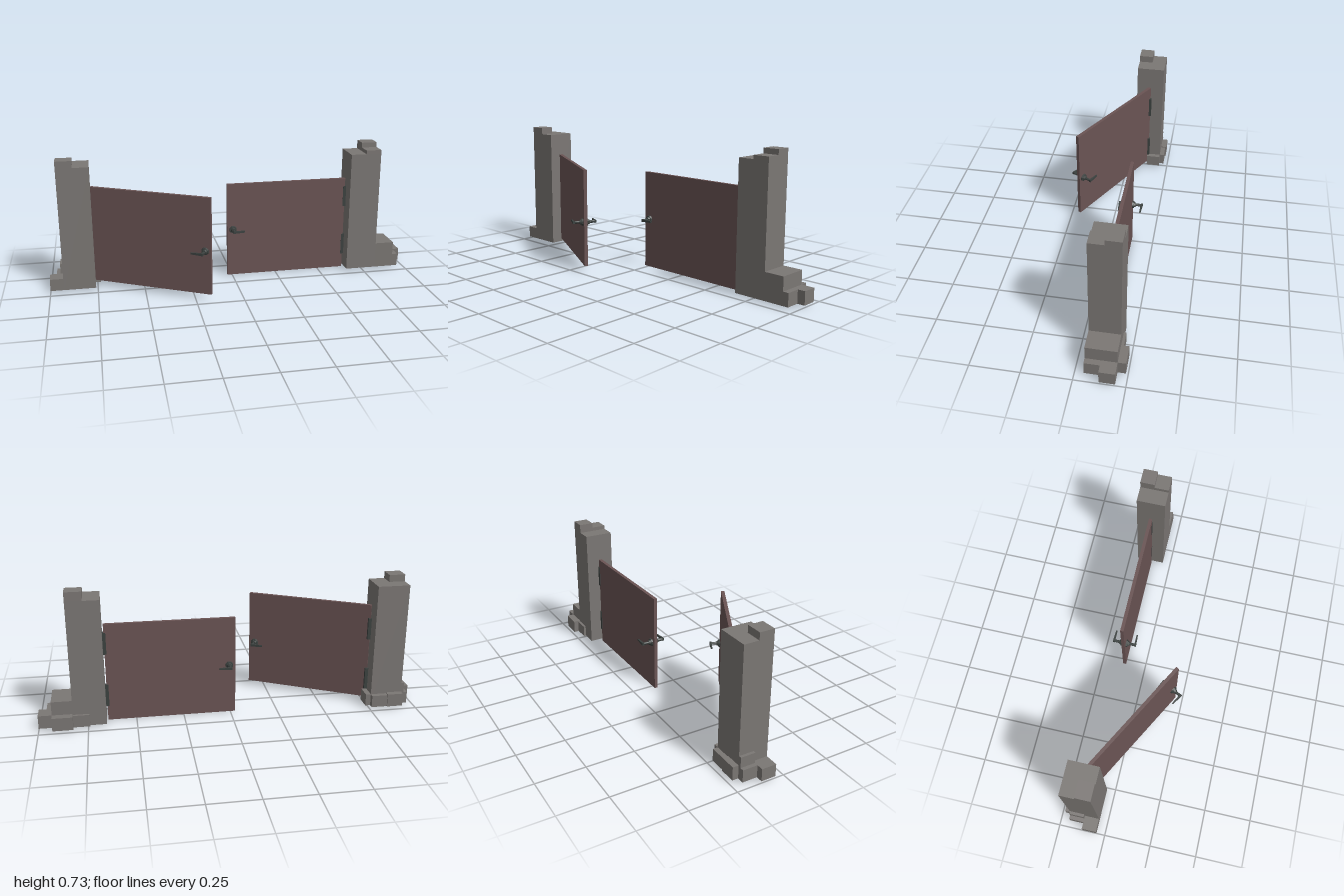
import * as THREE from 'three';

const stone = new THREE.MeshStandardMaterial({ color: 0x7b7774, flatShading: true });
const panel = new THREE.MeshStandardMaterial({ color: 0x6a5454, flatShading: true });
const metal = new THREE.MeshStandardMaterial({ color: 0x3c4240, flatShading: true });

// Box given by its extents on each axis
function block(name, material, [x0, x1], [y0, y1], [z0, z1]) {
  const mesh = new THREE.Mesh(new THREE.BoxGeometry(x1 - x0, y1 - y0, z1 - z0), material);
  mesh.position.set((x0 + x1) / 2, (y0 + y1) / 2, (z0 + z1) / 2);
  mesh.name = name;
  return mesh;
}

function pillar(name, blocks) {
  const group = new THREE.Group();
  group.name = name;
  for (const [part, x, y, z] of blocks) group.add(block(part, stone, x, y, z));
  return group;
}

// Lever handle for one face: axis along +z, lever along +x
function handle() {
  const group = new THREE.Group();
  group.name = 'handle';
  const disc = (name, r0, r1, z0, z1) => {
    const geo = new THREE.CylinderGeometry(r1, r0, z1 - z0, 8);
    geo.rotateY(Math.PI / 8).rotateX(Math.PI / 2).translate(0, 0, (z0 + z1) / 2);
    const mesh = new THREE.Mesh(geo, metal);
    mesh.name = name;
    group.add(mesh);
  };
  disc('rose', 0.022, 0.019, 0.008, 0.018);
  disc('collar', 0.015, 0.011, 0.018, 0.028);
  disc('stem', 0.0075, 0.0075, 0.026, 0.064);

  // Lever narrows towards its tip
  const geo = new THREE.BoxGeometry(0.066, 0.014, 0.011);
  const pos = geo.attributes.position;
  for (let i = 0; i < pos.count; i++) {
    if (pos.getX(i) > 0) {
      pos.setY(i, pos.getY(i) * 0.65);
      pos.setZ(i, pos.getZ(i) * 0.65 - 0.002);
    }
  }
  geo.translate(0.026, 0, 0.06);
  const lever = new THREE.Mesh(geo, metal);
  lever.name = 'lever';
  group.add(lever);
  return group;
}

// Door leaf: free edge at x = 0, hinged edge at x = 0.675
function door(name, bottom, top, handleHeight) {
  const group = new THREE.Group();
  group.name = name;
  group.add(block('doorPanel', panel, [0, 0.675], [bottom, top], [-0.009, 0.009]));
  for (const side of [1, -1]) {
    const h = handle();
    h.position.set(0.032, handleHeight, 0);
    h.scale.z = side;
    group.add(h);
  }
  return group;
}

export function createModel() {
  const model = new THREE.Group();
  model.name = 'gate';
  const front = [-0.122, -0.045], back = [-0.2, -0.122], full = [-0.2, -0.045];

  // Pillar on the +x side
  model.add(pillar('leftPillar', [
    ['shaft', [0.655, 0.825], [0.01, 0.68], full],
    ['frontCap', [0.74, 0.825], [0.68, 0.7], front],
    ['backCap', [0.74, 0.825], [0.68, 0.727], back],
    ['step', [0.825, 0.93], [0.01, 0.153], full],
    ['foot', [0.93, 0.96], [0.01, 0.08], full],
    ['sideStone', [0.96, 1], [0.01, 0.08], back],
    ['backStone', [0.825, 0.93], [0.01, 0.08], [-0.24, -0.2]],
    ['smallBackStone', [0.74, 0.825], [0.01, 0.075], [-0.213, -0.2]],
  ]));

  // Pillar on the -x side
  model.add(pillar('rightPillar', [
    ['shaft', [-0.93, -0.76], [0.01, 0.68], full],
    ['cap', [-0.93, -0.845], [0.68, 0.717], front],
    ['step', [-0.945, -0.93], [0.01, 0.13], back],
    ['frontFoot', [-1, -0.93], [0.01, 0.075], front],
    ['backFoot', [-0.965, -0.945], [0.01, 0.075], back],
    ['innerStone', [-0.76, -0.733], [0.01, 0.075], back],
    ['backStone', [-0.93, -0.845], [0.01, 0.08], [-0.231, -0.2]],
    ['smallBackStone', [-0.845, -0.76], [0.01, 0.075], [-0.226, -0.2]],
  ]));

  // Hinges, two on each pillar
  for (const x of [[0.638, 0.657], [-0.762, -0.743]]) {
    for (const y of [[0.08, 0.2], [0.368, 0.485]]) {
      model.add(block('hinge', metal, x, y, [-0.134, -0.112]));
    }
  }

  // Closed leaf
  const closed = door('closedDoor', 0, 0.53, 0.269);
  closed.position.set(-0.027, 0, -0.122);
  model.add(closed);

  // Open leaf, swung out towards the front
  const open = door('openDoor', 0.03, 0.557, 0.269);
  open.scale.x = -1;
  const pivot = new THREE.Group();
  pivot.name = 'openDoorPivot';
  open.position.x = 0.675;
  pivot.add(open);
  pivot.position.set(-0.76, 0, -0.12);
  pivot.rotation.y = THREE.MathUtils.degToRad(-28.5);
  model.add(pivot);
  return model;
}
